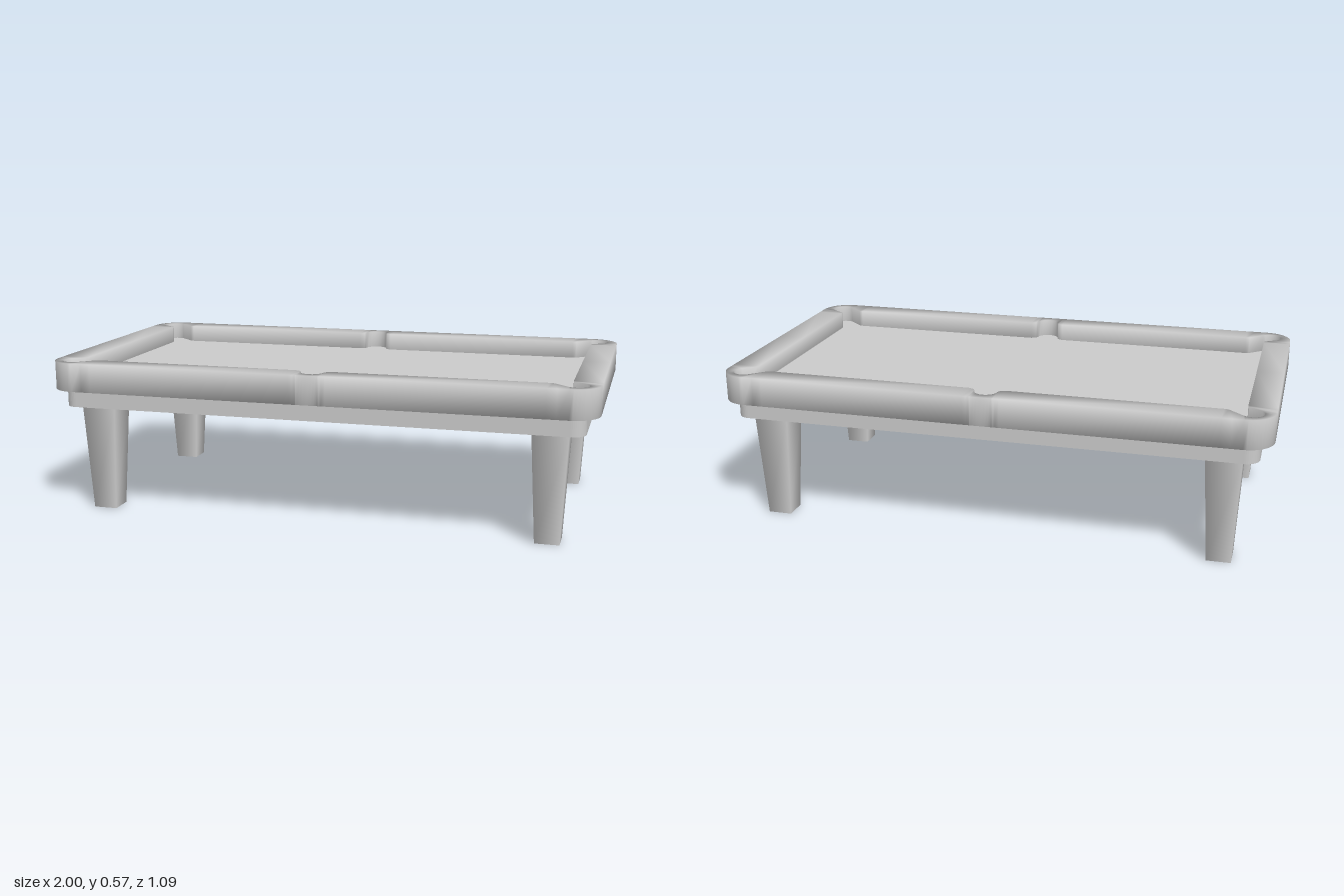
import * as THREE from 'three';

const material = new THREE.MeshStandardMaterial({ color: 0xcccccc });
const RAIL_TOP = 0.57, RAIL_BOTTOM = 0.465, BED = 0.505, APRON_BOTTOM = 0.4;
const PR = 0.042; // pocket radius

// One quadrant (+x, +z) of the rail: pairs of [inner x, z, outer x, z]
function railQuadrant() {
  const pts = [];
  // half of the side pocket, with a flared mouth
  for (let i = 0; i <= 5; i++) {
    const a = (i / 5) * Math.PI / 2;
    const x = PR * Math.sin(a);
    pts.push([x, 0.47 + PR * Math.cos(a), x, 0.545]);
  }
  pts.push([0.048, 0.459, 0.052, 0.545], [0.066, 0.45, 0.066, 0.545]);
  // cushion up to the corner pocket mouth
  pts.push([0.825, 0.45, 0.825, 0.545], [0.84, 0.453, 0.86, 0.545]);
  // corner pocket cup against the rounded outer corner
  const n = 12;
  for (let i = 0; i <= n; i++) {
    const a = Math.PI * (0.75 - i / n); // cup: half circle facing outward
    const b = Math.PI / 2 * (1 - i / n); // outer corner: quarter circle
    pts.push([
      0.92 + PR * Math.cos(a), 0.47 + PR * Math.sin(a),
      0.9 + 0.1 * Math.cos(b), 0.445 + 0.1 * Math.sin(b),
    ]);
  }
  pts.push([0.903, 0.41, 1, 0.42], [0.9, 0.395, 1, 0.395], [0.9, 0, 1, 0]);
  return pts;
}

// Mirrors the quadrant into the full closed outline
function railOutline() {
  const q = railQuadrant();
  const flip = (list, sx, sz) => list.map(([a, b, c, d]) => [a * sx, b * sz, c * sx, d * sz]);
  const half = [...q, ...flip(q.slice(0, -1).reverse(), 1, -1)];
  return [...half, ...flip(half.slice(1, -1).reverse(), -1, 1)];
}

// Rail: closed four-cornered section swept round the outline, softly shaded
function railGeometry(outline) {
  const n = outline.length, pos = [], idx = [];
  for (const [ix, iz, ox, oz] of outline) {
    pos.push(ox, RAIL_BOTTOM, oz, ox, RAIL_TOP, oz, ix, RAIL_TOP, iz, ix, RAIL_BOTTOM, iz);
  }
  for (let i = 0; i < n; i++) {
    const j = (i + 1) % n;
    for (let k = 0; k < 4; k++) {
      const m = (k + 1) % 4;
      const a = i * 4 + k, b = j * 4 + k, c = j * 4 + m, d = i * 4 + m;
      idx.push(a, c, b, a, d, c);
    }
  }
  // outward winding check on the first outer wall (which faces +z)
  const g = new THREE.BufferGeometry();
  g.setAttribute('position', new THREE.Float32BufferAttribute(pos, 3));
  const p = (i) => new THREE.Vector3().fromArray(pos, i * 3);
  const normal = p(idx[1]).sub(p(idx[0])).cross(p(idx[2]).sub(p(idx[0])));
  if (normal.z < 0) idx.reverse();
  g.setIndex(idx);
  g.computeVertexNormals();
  return g;
}

function roundedRect(hx, hz, r) {
  const s = new THREE.Shape();
  s.absarc(hx - r, hz - r, r, 0, Math.PI / 2);
  s.absarc(-hx + r, hz - r, r, Math.PI / 2, Math.PI);
  s.absarc(-hx + r, -hz + r, r, Math.PI, Math.PI * 1.5);
  s.absarc(hx - r, -hz + r, r, Math.PI * 1.5, Math.PI * 2);
  s.closePath();
  return s;
}

export function createModel() {
  const model = new THREE.Group();
  const add = (name, geometry, x = 0, y = 0, z = 0) => {
    const mesh = new THREE.Mesh(geometry, material);
    mesh.name = name;
    mesh.position.set(x, y, z);
    model.add(mesh);
    return mesh;
  };

  // Rail with six pocket cut-outs
  const outline = railOutline();
  add('rail', railGeometry(outline));

  // Flat playing bed filling the inside of the rail
  const bedShape = new THREE.Shape(outline.map(([x, z]) => new THREE.Vector2(x, -z)));
  add('bed', new THREE.ShapeGeometry(bedShape).rotateX(-Math.PI / 2), 0, BED, 0);

  // Recessed apron under the rail
  const apron = new THREE.ExtrudeGeometry(roundedRect(0.955, 0.505, 0.05), {
    depth: RAIL_BOTTOM - APRON_BOTTOM + 0.005, bevelEnabled: false, curveSegments: 6,
  });
  add('apron', apron.rotateX(-Math.PI / 2), 0, APRON_BOTTOM, 0);

  // Four square tapered legs
  const leg = new THREE.CylinderGeometry(0.064 * Math.SQRT2, 0.044 * Math.SQRT2, APRON_BOTTOM, 4);
  leg.rotateY(Math.PI / 4);
  for (const [sx, side] of [[1, 'Left'], [-1, 'Right']]) {
    for (const [sz, end] of [[1, 'front'], [-1, 'back']]) {
      add(`${end}${side}Leg`, leg, sx * 0.835, APRON_BOTTOM / 2, sz * 0.4);
    }
  }
  return model;
}
